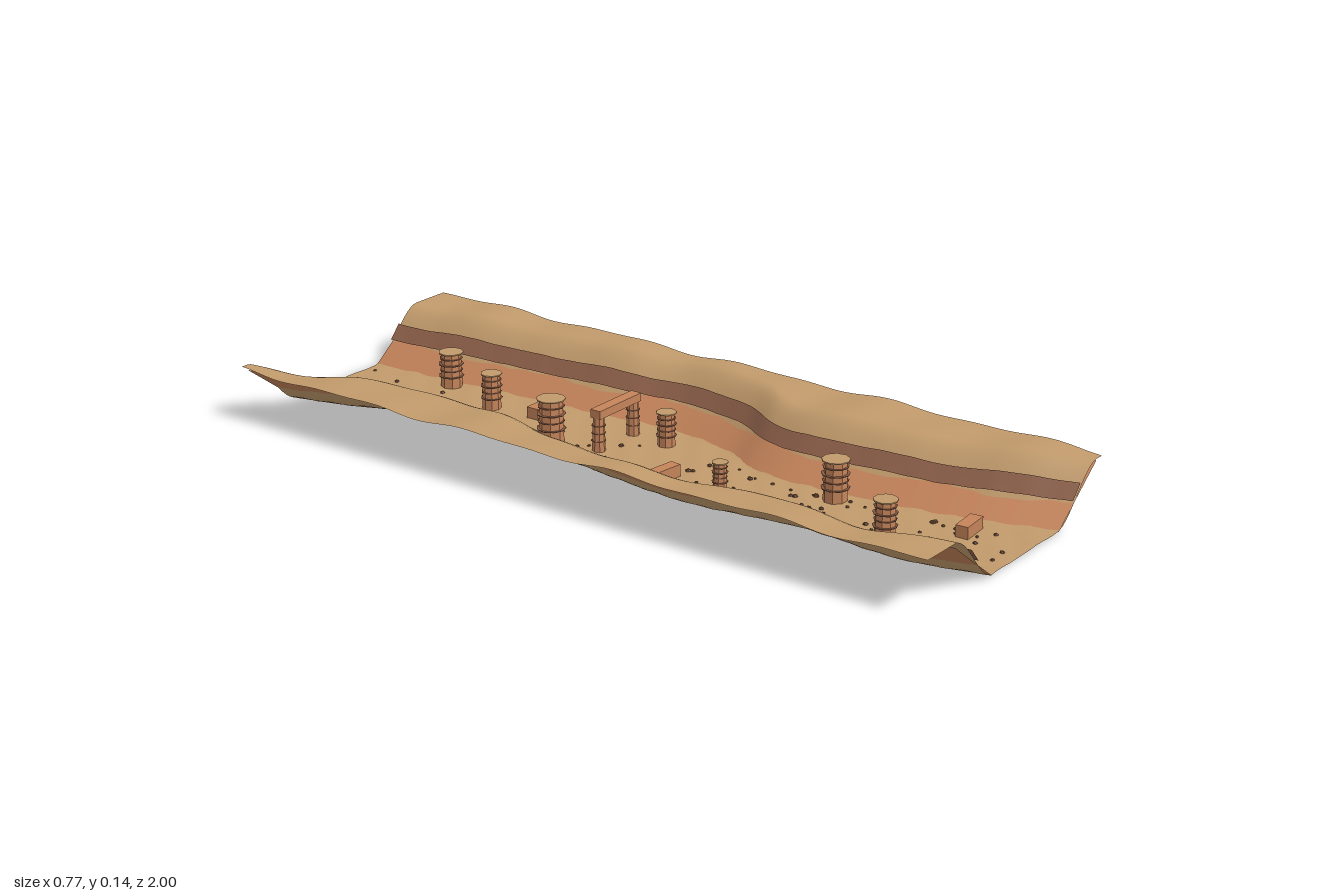
import * as THREE from 'three';

const mat = (name, color, side = THREE.FrontSide, flatShading = false) => {
  const m = new THREE.MeshStandardMaterial({ color, side, flatShading });
  m.name = name;
  return m;
};

// Floor edge of each canyon wall as a smooth curve of [z, x] points
function edgeCurve(points) {
  const curve = new THREE.SplineCurve(points.map(([z, x]) => new THREE.Vector2(z, x)));
  const samples = curve.getPoints(400);
  return (z) => {
    let i = 1;
    while (i < samples.length - 1 && samples[i].x < z) i++;
    const a = samples[i - 1], b = samples[i];
    return THREE.MathUtils.lerp(a.y, b.y, (z - a.x) / (b.x - a.x));
  };
}
const edges = {
  '-1': edgeCurve([[-1, -0.2], [-0.85, -0.16], [-0.7, -0.105], [-0.5, -0.078], [-0.3, -0.092], [-0.1, -0.13],
    [0.2, -0.168], [0.4, -0.147], [0.55, -0.133], [0.8, -0.15], [1, -0.108]]),
  '1': edgeCurve([[-1, 0.108], [-0.8, 0.122], [-0.6, 0.138], [-0.3, 0.16], [-0.1, 0.182], [0.1, 0.15],
    [0.22, 0.092], [0.35, 0.072], [0.6, 0.095], [0.8, 0.13], [1, 0.193]]),
};

const HALF = 0.385, FLOOR = 0.008, RISE = 0.13, WALL = 0.17;

// Ground height at distance d outward from a floor edge
function groundHeight(d, x, z) {
  const s = THREE.MathUtils.smoothstep(d, -0.004, WALL - 0.004);
  const floorNoise = 0.0008 * Math.sin(z * 61 + x * 40) + 0.0006 * Math.sin(z * 97 - x * 70);
  const dunes = 0.004 * Math.sin(z * 15.5 + x * 3) + 0.0025 * Math.sin(z * 27 - x * 9);
  return FLOOR + floorNoise * (1 - s) + s * (RISE + dunes);
}

// Smooth sheet from a rule: point(i, z) gives [x, y] across the canyon
function sheet(name, across, along, point, material) {
  const pos = [], index = [];
  for (let j = 0; j <= along; j++) {
    const z = -1 + (2 * j) / along;
    for (let i = 0; i <= across; i++) pos.push(...point(i, z), z);
  }
  const w = across + 1;
  for (let j = 0; j < along; j++) {
    for (let i = 0; i < across; i++) {
      const a = j * w + i, b = a + w;
      index.push(a, b, a + 1, a + 1, b, b + 1);
    }
  }
  const g = new THREE.BufferGeometry();
  g.setAttribute('position', new THREE.Float32BufferAttribute(pos, 3));
  g.setIndex(index);
  g.computeVertexNormals();
  const mesh = new THREE.Mesh(g, material);
  mesh.name = name;
  return mesh;
}

export function createModel() {
  const model = new THREE.Group();
  model.name = 'canyon';
  const sand = mat('sand', 0xc19a6b, THREE.DoubleSide);
  const clay = mat('clay', 0xc4835a, THREE.DoubleSide);
  const umber = mat('umber', 0x8b5e48, THREE.DoubleSide);
  const rock = mat('red rock', 0xc4835a, THREE.FrontSide, true);
  const cap = mat('sand cap', 0xc19a6b, THREE.FrontSide, true);
  const dark = mat('pebble brown', 0x7a5238, THREE.FrontSide, true);

  const add = (parent, name, geometry, material, x, y, z) => {
    const m = new THREE.Mesh(geometry, material);
    m.name = name;
    m.position.set(x, y, z);
    parent.add(m);
    return m;
  };

  // Ground: plateau, slope, floor, slope, plateau
  const P = 5, S = 14, F = 12;
  const across = 2 * (P + S) + F;
  model.add(sheet('ground', across, 120, (i, z) => {
    const l = edges['-1'](z), r = edges['1'](z);
    let x;
    const half = (k, side, edge) => (k <= P
      ? THREE.MathUtils.lerp(side * HALF, edge + side * (WALL - 0.004), k / P)
      : edge + side * (WALL * (1 - (k - P) / S) - 0.004));
    if (i <= P + S) x = half(i, -1, l);
    else if (i >= P + S + F) x = half(across - i, 1, r);
    else x = THREE.MathUtils.lerp(l + 0.004, r - 0.004, (i - P - S) / F);
    return [x, groundHeight(Math.max(l - x, x - r), x, z)];
  }, sand));

  // Straight clay wall and raised dark stratum on each side
  for (const side of [-1, 1]) {
    const label = side > 0 ? 'left' : 'right';
    const ordered = (i, n) => (side > 0 ? i : n - i) / n;
    model.add(sheet(label + 'ClayWall', 4, 120, (i, z) => {
      const t = ordered(i, 4);
      return [edges[side](z) + side * 0.165 * t, 0.006 + 0.123 * t];
    }, clay));
    model.add(sheet(label + 'DarkStratum', 4, 120, (i, z) => {
      const d = 0.061 + 0.032 * ordered(i, 4);
      const x = edges[side](z) + side * d;
      return [x, groundHeight(d, x, z) + 0.012];
    }, umber));
  }

  // Rock pillars: tapered column, thin ledges and a flat cap
  function pillar(name, x, z, r, h, turn) {
    const g = new THREE.Group();
    g.name = name;
    g.position.set(x, 0.006, z);
    g.rotation.y = turn;
    add(g, 'column', new THREE.CylinderGeometry(r * 0.78, r * 0.86, h, 8), rock, 0, h / 2, 0);
    for (let k = 0; k < 4; k++) {
      const rr = r * (k % 2 ? 0.92 : 1);
      add(g, 'ledge', new THREE.CylinderGeometry(rr, rr, 0.002, 9), umber, 0, h * (0.33 + 0.17 * k), 0);
    }
    add(g, 'cap', new THREE.CylinderGeometry(r, r, 0.003, 9), cap, 0, h, 0);
    model.add(g);
  }
  [[0.105, -0.735, 0.033, 0.094], [0.04, -0.545, 0.028, 0.095], [-0.053, -0.277, 0.037, 0.114],
    [0.095, -0.035, 0.026, 0.088], [-0.063, 0.238, 0.02, 0.072], [0.047, 0.49, 0.035, 0.104],
    [-0.07, 0.7, 0.03, 0.094]].forEach(([x, z, r, h], i) => pillar('pillar', x, z, r, h, i * 0.7));

  // Natural arch: two legs and a beam
  const arch = new THREE.Group();
  arch.name = 'arch';
  for (const x of [-0.033, 0.105]) {
    add(arch, 'archLeg', new THREE.CylinderGeometry(0.014, 0.017, 0.094, 8), rock, x, 0.053, -0.145);
    for (const y of [0.035, 0.055, 0.075]) {
      add(arch, 'archLedge', new THREE.CylinderGeometry(0.018, 0.018, 0.002, 8), umber, x, y, -0.145);
    }
  }
  add(arch, 'archBeam', new THREE.BoxGeometry(0.165, 0.021, 0.03), rock, 0.036, 0.106, -0.145);
  model.add(arch);

  // Fallen blocks
  for (const [x, z, w, d, turn] of [[-0.097, -0.9, 0.085, 0.03, 0.06], [0.075, -0.41, 0.076, 0.036, 0],
    [-0.092, 0.092, 0.092, 0.03, -0.12], [0.065, 0.84, 0.078, 0.032, 0.08]]) {
    add(model, 'block', new THREE.BoxGeometry(w, 0.032, d), rock, x, 0.022, z).rotation.y = turn;
  }

  // Scattered pebbles
  let seed = 7;
  const rand = () => (seed = (seed * 16807) % 2147483647) / 2147483647;
  const pebble = new THREE.IcosahedronGeometry(1, 0);
  for (let i = 0; i < 95; i++) {
    const z = -0.97 + 1.94 * rand();
    const x = THREE.MathUtils.lerp(edges['-1'](z) + 0.02, edges['1'](z) - 0.02, rand());
    const r = 0.0035 + 0.004 * rand();
    const m = add(model, 'pebble', pebble, dark, x, FLOOR + 0.0005, z);
    m.scale.set(r, r * 0.9, r);
    m.rotation.y = rand() * 6;
  }
  return model;
}
